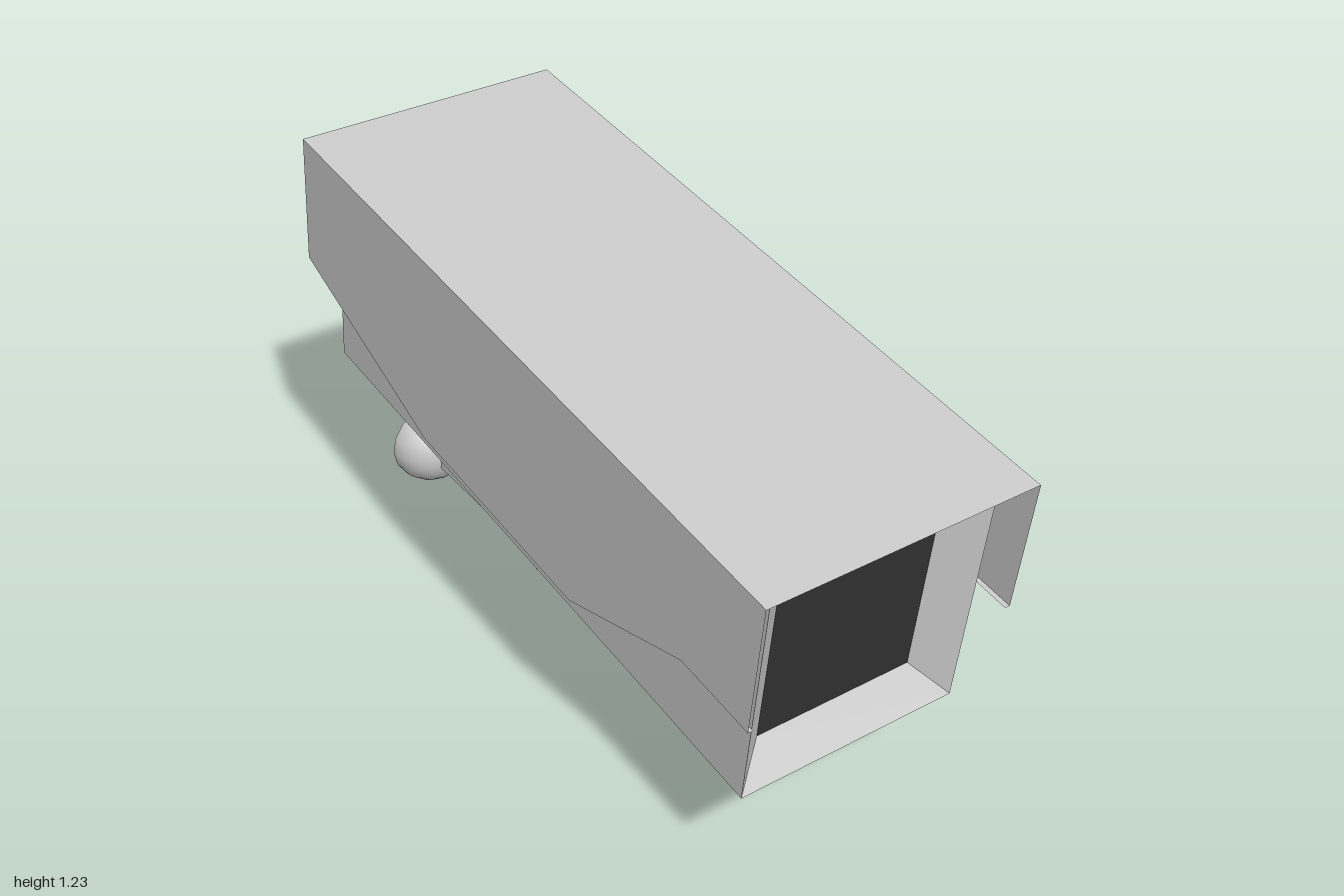
import * as THREE from 'three';

const grey = new THREE.MeshStandardMaterial({ color: 0xcccccc });
const flatGrey = new THREE.MeshStandardMaterial({ color: 0xcccccc, flatShading: true });
const sheet = new THREE.MeshStandardMaterial({ color: 0xcccccc, side: THREE.DoubleSide });
const sheetFlat = new THREE.MeshStandardMaterial({ color: 0xcccccc, side: THREE.DoubleSide, flatShading: true });
const dark = new THREE.MeshStandardMaterial({ color: 0x333333 });

function add(parent, name, geometry, material, x = 0, y = 0, z = 0) {
  const mesh = new THREE.Mesh(geometry, material);
  mesh.name = name;
  mesh.position.set(x, y, z);
  parent.add(mesh);
  return mesh;
}

// Flat strip across x, running from a to b, each given as [z, y]
function panel(parent, name, width, a, b, x = 0) {
  const dz = b[0] - a[0], dy = b[1] - a[1];
  const mesh = add(parent, name, new THREE.PlaneGeometry(width, Math.hypot(dz, dy)), sheet,
    x, (a[1] + b[1]) / 2, (a[0] + b[0]) / 2);
  mesh.rotation.x = Math.atan2(dz, dy);
}

// Open square tube between two points in the x = 0 plane, each given as [z, y]
function bar(parent, name, size, a, b) {
  const dz = b[0] - a[0], dy = b[1] - a[1];
  const r = size * Math.SQRT1_2;
  const geometry = new THREE.CylinderGeometry(r, r, Math.hypot(dz, dy), 4, 1, true).rotateY(Math.PI / 4);
  const mesh = add(parent, name, geometry, sheetFlat, 0, (a[1] + b[1]) / 2, (a[0] + b[0]) / 2);
  mesh.rotation.x = Math.atan2(dz, dy);
}

export function createModel() {
  const model = new THREE.Group();
  model.name = 'securityCamera';

  // Tilted housing; its origin is the top front edge of the hood
  const housing = new THREE.Group();
  housing.name = 'housing';
  housing.position.set(0, 1.03, 1);
  housing.rotation.x = 0.106;
  model.add(housing);

  // Sheet hood: top, back and two shaped sides with a narrow lip below
  const W = 0.354, L = 1.89;
  const edge = [[0, -0.349], [-0.234, -0.349], [-0.648, -0.528], [-1.3, -0.528], [-L, -0.353]];
  panel(housing, 'hoodTop', 2 * W, [0, 0], [-L, 0]);
  panel(housing, 'hoodBack', 2 * W, [-L, 0], [-L, -0.353]);
  const outline = [[0, 0], ...edge, [-L, 0]].map(p => new THREE.Vector2(...p));
  const side = new THREE.ShapeGeometry(new THREE.Shape(outline)).rotateY(-Math.PI / 2);
  for (const s of [-1, 1]) {
    add(housing, s > 0 ? 'hoodSideLeft' : 'hoodSideRight', side, sheet, s * W);
    for (let i = 0; i < edge.length - 1; i++) {
      panel(housing, 'hoodLip', 0.013, edge[i], edge[i + 1], s * (W - 0.0065));
    }
  }

  // Square body whose front tapers inward to the window
  const half = 0.294, win = 0.211, depth = 0.07, front = -0.055, back = -1.832;
  const midY = -0.351;
  const profile = [[0, back], [half, back], [half, front], [win, front - depth]]
    .map(([h, z]) => new THREE.Vector2(h * Math.SQRT2, z));
  const body = new THREE.LatheGeometry(profile, 4).rotateY(Math.PI / 4).rotateX(Math.PI / 2);
  add(housing, 'body', body, flatGrey, 0, midY, 0);
  add(housing, 'window', new THREE.PlaneGeometry(2 * win, 2 * win), dark, 0, midY, front - depth);
  add(housing, 'basePlate', new THREE.BoxGeometry(0.47, 0.06, 1.657), grey, 0, -0.675, -0.944);

  // Wall bracket
  const joint = [-0.345, 0.122];
  bar(model, 'upperArm', 0.055, joint, [-0.137, 0.47]);
  bar(model, 'lowerArm', 0.055, joint, [-0.98, 0.122]);
  add(model, 'joint', new THREE.SphereGeometry(0.055, 16, 12), grey, 0, joint[1], joint[0]);
  const dome = new THREE.SphereGeometry(0.118, 16, 8, 0, Math.PI * 2, 0, Math.PI / 2).rotateX(Math.PI / 2);
  add(model, 'wallMount', dome, sheet, 0, 0.118, -1);

  return model;
}
